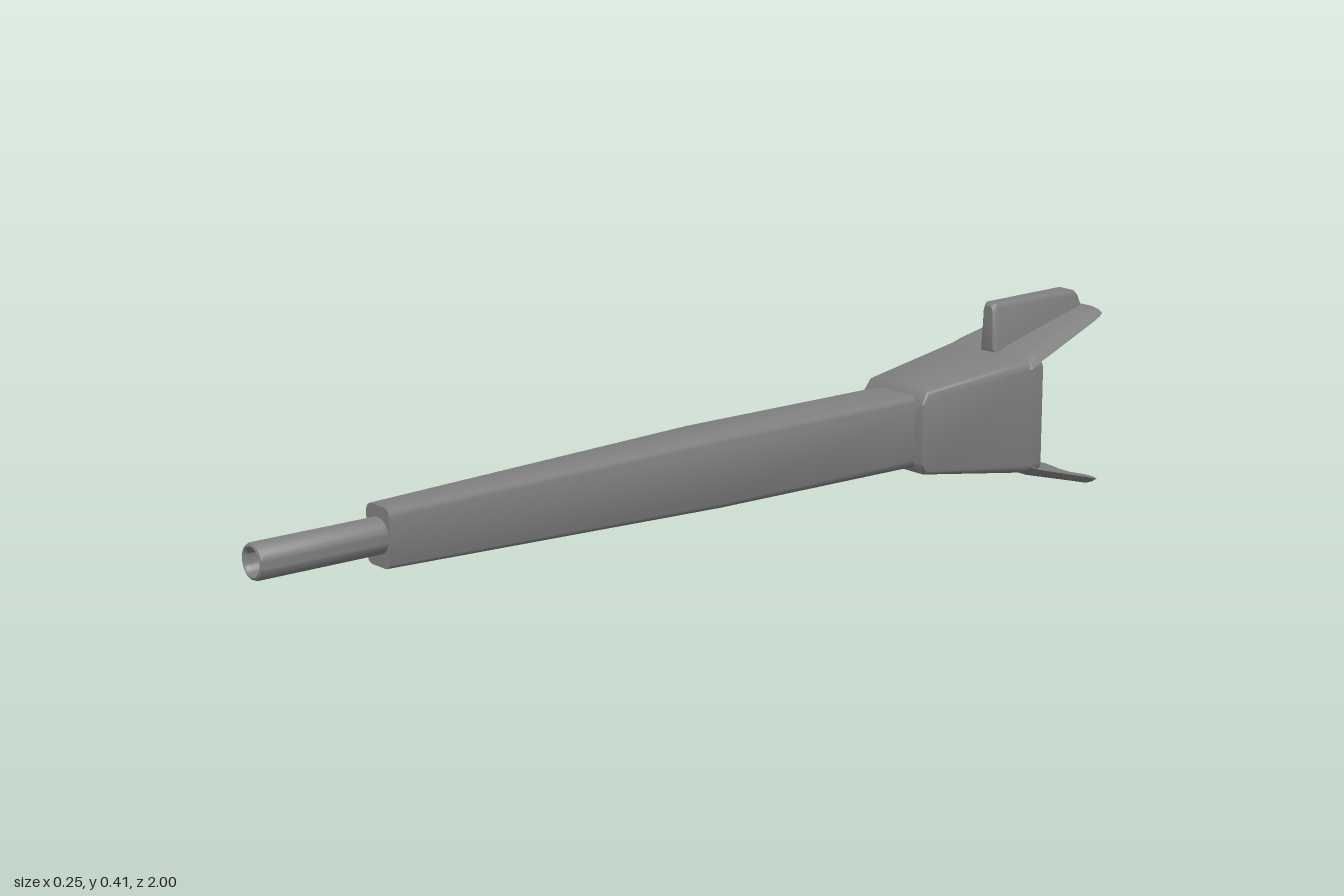
import * as THREE from 'three';
import { toCreasedNormals } from 'three/addons/utils/BufferGeometryUtils.js';

const material = new THREE.MeshStandardMaterial({ color: 0x808080 });
const MID = 0.189; // height of the long axis

function part(name, geometry) {
  const mesh = new THREE.Mesh(toCreasedNormals(geometry, 0.6), material);
  mesh.name = name;
  return mesh;
}

// Rectangle with rounded corners, counter-clockwise as seen from +z.
function roundedRing(z, halfWidth, bottom, top, radius, steps = 4) {
  const ring = [];
  const corners = [[1, top - radius], [-1, top - radius], [-1, bottom + radius], [1, bottom + radius]];
  corners.forEach(([side, y], k) => {
    for (let s = 0; s <= steps; s++) {
      const a = (k + s / steps) * Math.PI / 2;
      ring.push([side * (halfWidth - radius) + radius * Math.cos(a), y + radius * Math.sin(a), z]);
    }
  });
  return ring;
}

// Half outline (x >= 0, from bottom to top) mirrored into a closed ring.
function mirroredRing(half) {
  return [...half, ...half.map(([x, y, z]) => [-x, y, z]).reverse()];
}

// Closed skin through rings ordered from front (+z) to back (-z).
function loft(rings) {
  const n = rings[0].length;
  const positions = rings.flat(2);
  const index = [];
  for (let r = 0; r < rings.length - 1; r++) {
    for (let i = 0; i < n; i++) {
      const j = (i + 1) % n;
      const a = r * n, b = a + n;
      index.push(a + i, b + i, b + j, a + i, b + j, a + j);
    }
  }
  [0, rings.length - 1].forEach((r, end) => {
    const centre = positions.length / 3;
    for (let k = 0; k < 3; k++) positions.push(rings[r].reduce((sum, p) => sum + p[k], 0) / n);
    for (let i = 0; i < n; i++) {
      const p = r * n + i, q = r * n + (i + 1) % n;
      index.push(centre, end ? q : p, end ? p : q);
    }
  });
  const geometry = new THREE.BufferGeometry();
  geometry.setAttribute('position', new THREE.Float32BufferAttribute(positions, 3));
  geometry.setIndex(index);
  return geometry;
}

// Cross-section of a flared plate with drooping edges.
function plateRing(z, halfWidth, top, thickness, droop) {
  const flat = halfWidth - 0.035;
  return mirroredRing([
    [flat, top - thickness, z],
    [halfWidth - 0.012, top - droop * 0.75 - thickness * 0.6, z],
    [halfWidth, top - droop, z],
    [halfWidth - 0.008, top - droop * 0.5, z],
    [flat + 0.012, top - droop * 0.12, z],
    [flat, top, z],
  ]);
}

// Cross-section of the tapered top fin.
function finRing(z, baseHalf, topHalf, bottom, top) {
  return mirroredRing([
    [baseHalf, bottom, z],
    [topHalf + 0.004, top - 0.012, z],
    [topHalf, top - 0.003, z],
    [topHalf - 0.004, top, z],
  ]);
}

export function createModel() {
  const model = new THREE.Group();
  model.name = 'barrelAssembly';

  // Hollow round muzzle
  const profile = [[0.034, 0.7], [0.034, 0.993], [0.032, 0.998], [0.028, 1], [0.025, 0.998], [0.022, 0.993], [0.022, 0.86], [0, 0.86]];
  const muzzle = part('muzzle', new THREE.LatheGeometry(
    profile.map(([x, y]) => new THREE.Vector2(x, y)), 32).rotateX(Math.PI / 2));
  muzzle.position.y = MID + 0.001;
  model.add(muzzle);

  // Long tapered barrel
  model.add(part('barrel', loft([
    roundedRing(0.74, 0.036, 0.133, 0.245, 0.016),
    roundedRing(0, 0.062, 0.118, 0.262, 0.02),
    roundedRing(-0.52, 0.065, 0.115, 0.262, 0.02),
  ])));

  // Flaring rear housing, bevelled above and below at the front
  model.add(part('housing', loft([
    roundedRing(-0.49, 0.086, 0.128, 0.25, 0.002),
    roundedRing(-0.505, 0.087, 0.104, 0.275, 0.013),
    roundedRing(-0.755, 0.12, 0.071, 0.307, 0.02),
    roundedRing(-0.79, 0.12, 0.071, 0.307, 0.02),
  ])));

  // Upper and lower flared plates
  const plate = loft([
    plateRing(-0.748, 0.115, 0.302, 0.01, 0.016),
    plateRing(-0.757, 0.125, 0.309, 0.012, 0.018),
    plateRing(-0.785, 0.121, 0.32, 0.016, 0.018),
    plateRing(-0.965, 0.092, 0.371, 0.014, 0.016),
    plateRing(-0.985, 0.088, 0.377, 0.013, 0.015),
    plateRing(-1, 0.08, 0.376, 0.009, 0.01),
  ]);
  const upperPlate = part('upperPlate', plate);
  const lowerPlate = part('lowerPlate', plate);
  lowerPlate.rotation.z = Math.PI;
  lowerPlate.position.y = 2 * MID;
  model.add(upperPlate, lowerPlate);

  // Fin on the upper plate, with a bevelled front face
  model.add(part('topFin', loft([
    finRing(-0.75, 0.015, 0.009, 0.313, 0.402),
    finRing(-0.757, 0.025, 0.014, 0.3, 0.408),
    finRing(-0.975, 0.034, 0.024, 0.358, 0.408),
    finRing(-0.985, 0.034, 0.022, 0.362, 0.4),
    finRing(-0.997, 0.032, 0.020, 0.364, 0.379),
  ])));

  return model;
}
